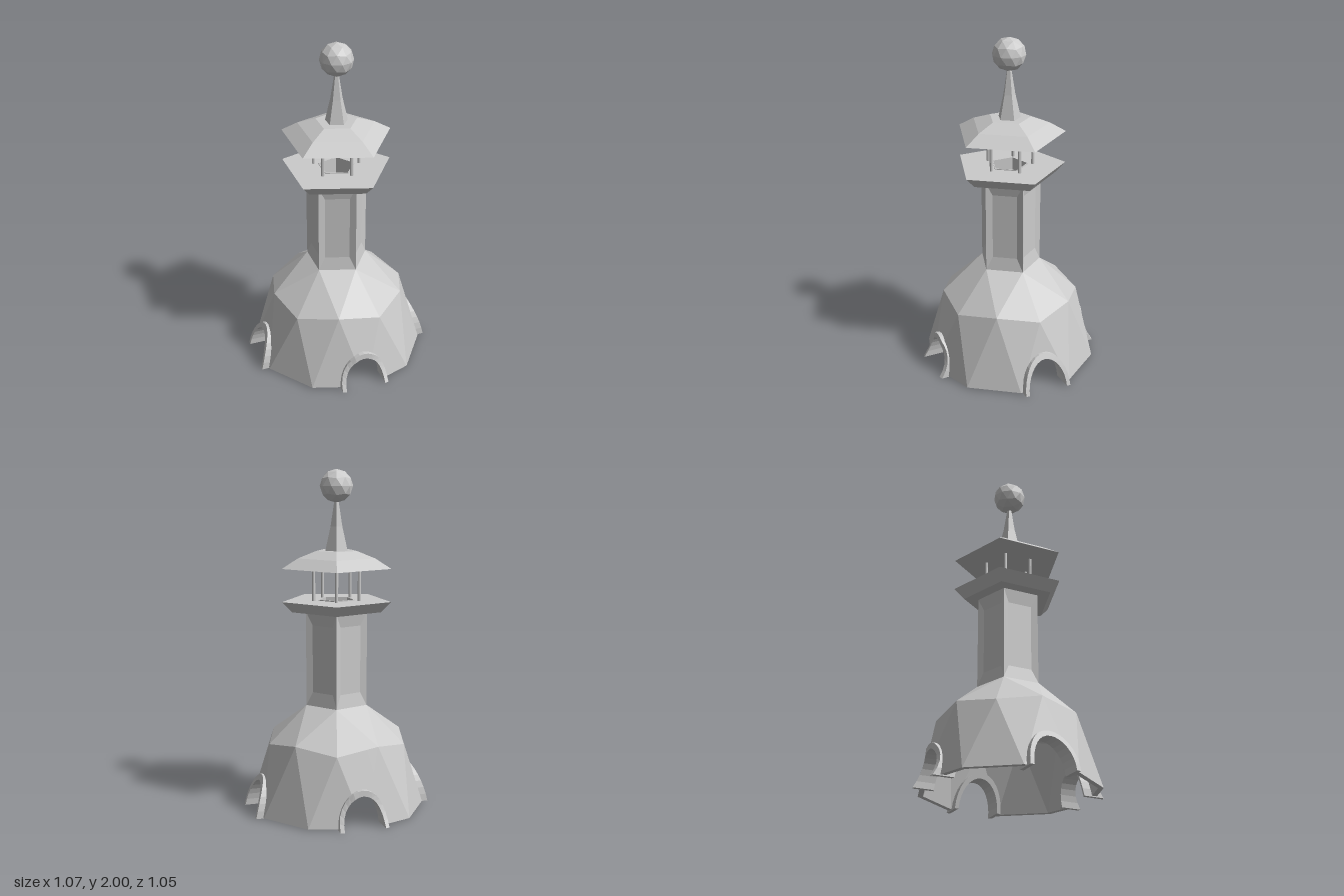
import * as THREE from 'three';

const V = (x, y, z) => new THREE.Vector3(x, y, z);
const polar = (r, deg, y) => V(r * Math.cos(deg * Math.PI / 180), y, r * Math.sin(deg * Math.PI / 180));
const material = new THREE.MeshStandardMaterial({ color: 0xcccccc, flatShading: true });

function addMesh(parent, name, geometry) {
  const g = geometry.index ? geometry.toNonIndexed() : geometry;
  g.computeVertexNormals();
  const mesh = new THREE.Mesh(g, material);
  mesh.name = name;
  parent.add(mesh);
  return mesh;
}

// Flat-faced geometry from a list of convex polygons
function polyGeometry(polys) {
  const pts = [];
  for (const p of polys) for (let i = 1; i < p.length - 1; i++) pts.push(p[0], p[i], p[i + 1]);
  return new THREE.BufferGeometry().setFromPoints(pts);
}

const centroid = (p) => p.reduce((s, q) => s.add(q), V(0, 0, 0)).divideScalar(p.length);

// Turn a polygon so that it faces along dir
function facing(poly, dir) {
  const n = poly[1].clone().sub(poly[0]).cross(poly[2].clone().sub(poly[0]));
  return n.dot(dir) < 0 ? [...poly].reverse() : poly;
}

// Five-sided turned part with a corner on +x
const pentagon = (profile) =>
  new THREE.LatheGeometry(profile.map(([r, y]) => new THREE.Vector2(r, y)), 5).rotateY(Math.PI / 2);

// Half-ellipse arch outline, running from the +x foot to the -x foot
function archPoints(rx, ry, foot = 0, segments = 16) {
  return Array.from({ length: segments + 1 }, (_, i) => {
    const a = Math.PI * i / segments;
    return [rx * Math.cos(a), i % segments ? ry * Math.sin(a) : foot];
  });
}

// Part of a convex polygon where f >= 0
function clip(poly, f) {
  const out = [];
  poly.forEach((a, i) => {
    const b = poly[(i + 1) % poly.length], fa = f(a), fb = f(b);
    if (fa >= 0) out.push(a);
    if ((fa > 0 && fb < 0) || (fa < 0 && fb > 0)) out.push(a.clone().lerp(b, fa / (fa - fb)));
  });
  return out.length > 2 ? out : [];
}

// Remove the doorway facing direction (dx, dz) from a polygon
function cutDoor(poly, dx, dz) {
  const c = centroid(poly);
  if (c.x * dx + c.z * dz < 0.2) return [poly];
  const outline = archPoints(0.134, 0.203, -0.01), pieces = [];
  let rest = poly;
  for (let i = 0; i < outline.length && rest.length; i++) {
    const a = outline[i], b = outline[(i + 1) % outline.length];
    const inside = (p) => (b[0] - a[0]) * (p.y - a[1]) - (b[1] - a[1]) * (p.x * dz - p.z * dx - a[0]);
    const outer = clip(rest, (p) => -inside(p));
    if (outer.length) pieces.push(outer);
    rest = clip(rest, inside);
  }
  return rest.length ? pieces : [poly];
}

const FOOT = 0.006;

// Faceted dome shell: ten-sided foot, staggered shoulder ring, five-sided crown
function domeShell(s, drop, sign) {
  const base = (k) => polar(0.52 * s, 36 * k + 18, FOOT);
  const ring = (k) => (k % 2 ? polar(0.402 * s, 36 * k, 0.438 - drop) : polar(0.416 * s, 36 * k, 0.40 - drop));
  const top = (j) => polar(0.187 * s, 72 * j, 0.62 - drop);
  const tris = [];
  for (let k = 0; k < 10; k++) {
    tris.push([base(k + 9), base(k), ring(k)], [ring(k), ring(k + 1), base(k)]);
  }
  for (let j = 0; j < 5; j++) {
    const k = 2 * j;
    tris.push([ring(k), ring(k + 1), top(j)], [ring(k + 1), ring(k + 2), top(j + 1)],
      [top(j), top(j + 1), ring(k + 1)]);
  }
  tris.push([0, 1, 2, 3, 4].map(top));
  return tris.map((t) => facing(t, centroid(t).multiplyScalar(sign)));
}

function buildDome() {
  let polys = [...domeShell(1, 0, 1), ...domeShell(0.94, 0.02, -1)];
  // Foot of the wall between the two shells
  for (let k = 0; k < 10; k++) {
    const a = 36 * k - 18, b = a + 36;
    const rim = [polar(0.52, a, FOOT), polar(0.52, b, FOOT), polar(0.489, b, FOOT), polar(0.489, a, FOOT)];
    polys.push(facing(rim, V(0, -1, 0)));
  }
  for (const [dx, dz] of [[1, 0], [-1, 0], [0, 1], [0, -1]]) polys = polys.flatMap((p) => cutDoor(p, dx, dz));
  return polyGeometry(polys);
}

// Door frame facing +z: follows the wall, stands proud of it by lip(height) and reaches inside
function buildFrame(wall, lip) {
  const outer = archPoints(0.146, 0.22), inner = archPoints(0.123, 0.186);
  const corner = ([u, v], front) => V(u, v, wall(Math.abs(u), v) + (front ? lip(v) : -0.08));
  const sections = outer.map((o, i) => [corner(o, true), corner(inner[i], true), corner(inner[i], false), corner(o, false)]);
  const polys = [sections[0], [...sections.at(-1)].reverse()];
  for (let i = 0; i < sections.length - 1; i++) {
    const a = sections[i], b = sections[i + 1];
    for (let c = 0; c < 4; c++) polys.push([a[c], b[c], b[(c + 1) % 4], a[(c + 1) % 4]]);
  }
  return polyGeometry(polys);
}

// Five-sided shaft with a sunken panel in each side
function buildShaft(r, y0, y1) {
  const polys = [];
  for (let k = 0; k < 5; k++) {
    const a = polar(r, 72 * k, 0), b = polar(r, 72 * k + 72, 0);
    const sink = polar(-0.014, 72 * k + 36, 0);
    const at = (t, y, d) => a.clone().lerp(b, t).addScaledVector(sink, d).setY(y);
    const rim = [at(0, y0, 0), at(1, y0, 0), at(1, y1, 0), at(0, y1, 0)];
    const panel = [at(0.17, y0 + 0.08, 1), at(0.83, y0 + 0.08, 1), at(0.83, y1 - 0.08, 1), at(0.17, y1 - 0.08, 1)];
    const faces = [panel];
    for (let i = 0; i < 4; i++) {
      const j = (i + 1) % 4;
      faces.push([rim[i], rim[j], panel[j], panel[i]]);
    }
    polys.push(...faces.map((f) => facing(f, polar(1, 72 * k + 36, 0))));
  }
  return polyGeometry(polys);
}

export function createModel() {
  const model = new THREE.Group();
  model.name = 'tower';

  addMesh(model, 'dome', buildDome());

  // Four door frames, their feet flaring outward
  const ridgeWall = (u, v) => Math.min(0.52 - 0.327 * u - 0.224 * v, 0.52 - 0.32 * v);
  const ridgeLip = (v) => 0.043 - 0.456 * v + 1.765 * v * v;
  const flatWall = (u, v) => 0.495 - 0.2 * v;
  const flatLip = (v) => 0.042 - 0.6 * v * v;
  for (let k = 0; k < 4; k++) {
    const frame = k % 2 ? buildFrame(flatWall, flatLip) : buildFrame(ridgeWall, ridgeLip);
    addMesh(model, 'doorFrame', frame).rotation.y = k * Math.PI / 2;
  }

  addMesh(model, 'shaft', buildShaft(0.187, 0.62, 1.178));

  // Balcony with an open, slightly raised hatch in its floor
  addMesh(model, 'balcony', pentagon([[0.15, 1.178], [0.272, 1.178], [0.332, 1.24], [0.112, 1.24],
    [0.112, 1.245], [0.106, 1.245], [0.106, 1.13], [0, 1.13]]));

  // Roof posts
  for (let k = 0; k < 5; k++) {
    const post = addMesh(model, 'post', new THREE.CylinderGeometry(0.01, 0.01, 0.2, 8));
    post.position.copy(polar(0.14, 72 * k, 1.338));
  }

  addMesh(model, 'roof', pentagon([[0, 1.432], [0.332, 1.432], [0.235, 1.49], [0.125, 1.53], [0, 1.53]]));
  addMesh(model, 'spire', pentagon([[0.068, 1.53], [0.036, 1.67], [0.011, 1.83], [0, 1.83]]));

  // Faceted ball standing on one of its points
  const ball = new THREE.IcosahedronGeometry(0.097, 1).rotateZ(-Math.atan(2 / (1 + Math.sqrt(5))));
  addMesh(model, 'ball', ball).position.y = 1.903;

  return model;
}
